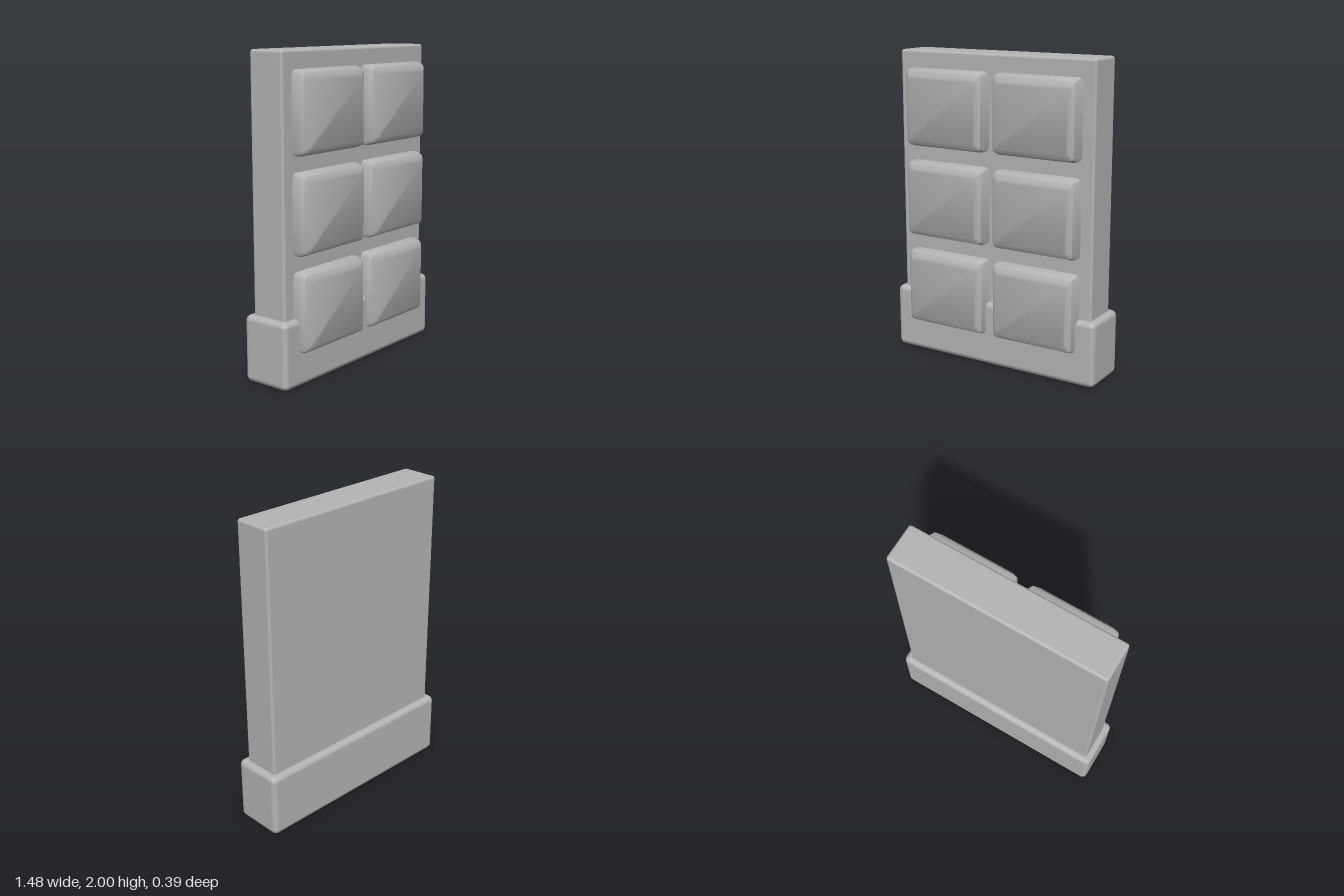
import * as THREE from 'three';
import { toCreasedNormals } from 'three/addons/utils/BufferGeometryUtils.js';
import { RoundedBoxGeometry } from 'three/addons/geometries/RoundedBoxGeometry.js';

// Pillow-edged tile: stacked chamfered-rectangle rings, closed front and back
function tileGeometry(halfW, halfH) {
  // [z, inset, corner cut]
  const rings = [[0, 0, 0.03], [0.13, 0, 0.03], [0.172, 0.015, 0.025], [0.192, 0.045, 0.02]];
  const pos = [], index = [];
  for (const [z, inset, c] of rings) {
    const w = halfW - inset, h = halfH - inset;
    for (const [sx, sy, first] of [[1, 1, 'x'], [-1, 1, 'y'], [-1, -1, 'x'], [1, -1, 'y']]) {
      const a = [sx * w, sy * (h - c), z];
      const m = [sx * (w - c * 0.3), sy * (h - c * 0.3), z];
      const b = [sx * (w - c), sy * h, z];
      pos.push(...(first === 'x' ? [a, m, b] : [b, m, a]).flat());
    }
  }
  const n = 12, last = (rings.length - 1) * n;
  for (let r = 0; r < rings.length - 1; r++) {
    for (let i = 0; i < n; i++) {
      const a = r * n + i, b = r * n + (i + 1) % n;
      index.push(a, b, b + n, a, b + n, a + n);
    }
  }
  for (let i = 1; i < n - 1; i++) {
    index.push(last, last + i, last + i + 1);
    index.push(0, i + 1, i);
  }
  const g = new THREE.BufferGeometry();
  g.setAttribute('position', new THREE.Float32BufferAttribute(pos, 3));
  g.setIndex(index);
  return toCreasedNormals(g, 0.6);
}

export function createModel() {
  const model = new THREE.Group();
  model.name = 'tabletBar';
  const grey = new THREE.MeshStandardMaterial({ color: 0xb4b4b4 });
  grey.name = 'plainGrey';

  const add = (name, geometry, x, y, z) => {
    const mesh = new THREE.Mesh(geometry, grey);
    mesh.name = name;
    mesh.position.set(x, y, z);
    model.add(mesh);
  };

  // Flat slab behind the tiles
  add('slab', new RoundedBoxGeometry(1.4, 1.9, 0.25, 2, 0.018), 0, 1.05, -0.03);

  // Thicker sleeve around the bottom
  add('sleeve', new RoundedBoxGeometry(1.484, 0.42, 0.333, 2, 0.035), 0, 0.21, -0.03);

  // Two columns of three raised tiles
  const tile = tileGeometry(0.294, 0.249);
  [0.453, 1.046, 1.64].forEach((y, row) => {
    for (const side of [-1, 1]) {
      add(`${side > 0 ? 'left' : 'right'}Tile${row + 1}`, tile, side * 0.324, y, 0);
    }
  });
  return model;
}
